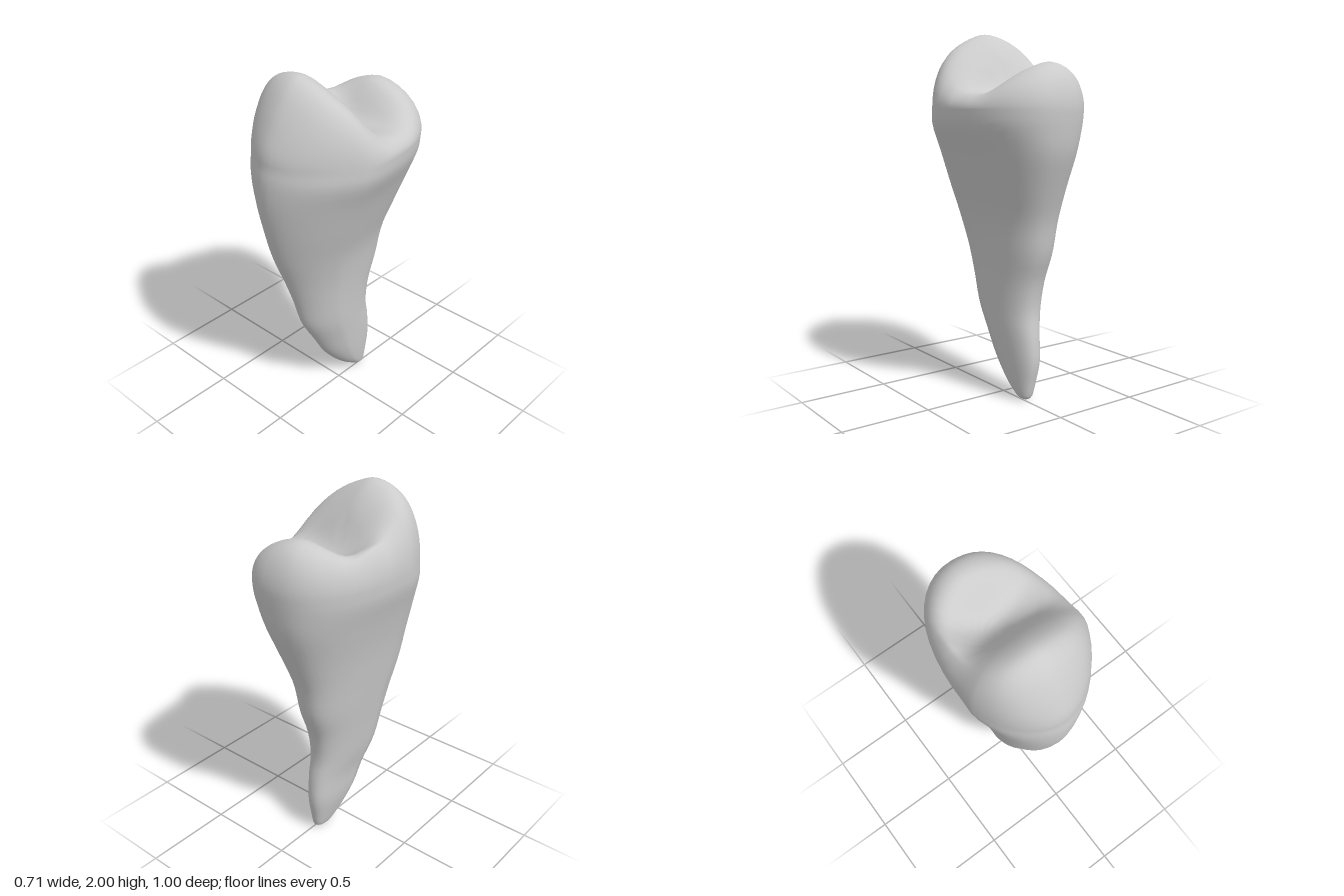
import * as THREE from 'three';

const SEG = 48;
const BODY_RINGS = 40;
const CROWN_RINGS = 24;

// Root and body sections: [y, xMin, xMax, zBack, zFront]
const SECTIONS = [
  [0.01, -0.03, 0.01, -0.21, -0.15],
  [0.03, -0.055, 0.025, -0.225, -0.11],
  [0.10, -0.08, 0.042, -0.24, -0.02],
  [0.22, -0.11, 0.06, -0.26, 0.085],
  [0.36, -0.127, 0.075, -0.25, 0.165],
  [0.50, -0.16, 0.09, -0.23, 0.24],
  [0.66, -0.185, 0.105, -0.25, 0.285],
  [0.82, -0.21, 0.125, -0.305, 0.34],
  [1.00, -0.24, 0.16, -0.338, 0.41],
  [1.18, -0.27, 0.22, -0.40, 0.46],
  [1.36, -0.31, 0.285, -0.465, 0.495],
  [1.50, -0.348, 0.345, -0.488, 0.50],
  [1.59, -0.355, 0.355, -0.495, 0.487],
];
const body = new THREE.CubicInterpolant(SECTIONS.map((s, i) => i), SECTIONS.flat(), 5);

// Height of the chewing surface along its midline, from back to front
const MID_Z = [-0.5, -0.45, -0.37, -0.29, -0.22, -0.16, -0.1, -0.02, 0.07, 0.165, 0.245, 0.32, 0.4, 0.46, 0.5];
const MID_Y = [1.87, 1.88, 1.87, 1.835, 1.755, 1.68, 1.655, 1.71, 1.86, 1.965, 2.0, 1.97, 1.89, 1.82, 1.8];
const midline = new THREE.CubicInterpolant(MID_Z, MID_Y, 1);

// Adds the ridges at both ends of the valley and slopes the cusps off sideways
function crownHeight(x, z) {
  const mid = midline.evaluate(THREE.MathUtils.clamp(z, -0.499, 0.499))[0];
  const valley = Math.exp(-(((z + 0.1) / 0.13) ** 2));
  const ridge = valley * (x > 0 ? 0.025 : 0.13) * Math.min(1.3, (x / 0.25) ** 2);
  const dx = x + 0.05;
  const slope = (dx > 0 ? 0.42 : 0.2) * (Math.hypot(dx, 0.05) - 0.05);
  return mid + ridge - (1 - valley) * slope;
}

// Egg-shaped ring, blunt at the back, narrower and off-centre at the front
function ringPoint([y, x0, x1, zb, zf], j, scale) {
  const a = (j / SEG) * Math.PI * 2;
  const s = Math.sin(a), c = Math.cos(a);
  const zc = zb + 0.6 * (zf - zb);
  const e = c < 0 ? 0.85 : 0.85 + 0.28 * Math.min(1, c * 3);
  const u = Math.sign(s) * Math.abs(s) ** e;
  const v = Math.sign(c) * Math.abs(c) ** e;
  const lean = 0.055 * Math.max(0, v);
  const x = (x0 + x1) / 2 + (u / 2 - lean) * scale * (x1 - x0);
  const z = zc + v * scale * (c < 0 ? zc - zb : zf - zc);
  return [x, y, z];
}

function toothGeometry() {
  const pos = [], index = [];
  pos.push(-0.01, 0, -0.18); // root tip

  // Root and body rings
  let rim;
  for (let i = 0; i <= BODY_RINGS; i++) {
    rim = Array.from(body.evaluate((i / BODY_RINGS) * (SECTIONS.length - 1)));
    for (let j = 0; j < SEG; j++) pos.push(...ringPoint(rim, j, 1));
  }

  // Crown rings close in from the widest ring over the chewing surface
  for (let i = 1; i < CROWN_RINGS; i++) {
    const s = Math.cos((i / CROWN_RINGS) * Math.PI / 2) ** 0.8;
    const rise = Math.sqrt(1 - s ** 5);
    for (let j = 0; j < SEG; j++) {
      const [x, y, z] = ringPoint(rim, j, s);
      pos.push(x, y + (crownHeight(x, z) - y) * rise, z);
    }
  }
  const zc = rim[3] + 0.6 * (rim[4] - rim[3]);
  pos.push(0, crownHeight(0, zc), zc);

  // Faces
  const rings = BODY_RINGS + CROWN_RINGS;
  const top = 1 + rings * SEG;
  const last = top - SEG;
  for (let j = 0; j < SEG; j++) {
    const k = (j + 1) % SEG;
    index.push(0, 1 + k, 1 + j);
    for (let i = 0; i < rings - 1; i++) {
      const a = 1 + i * SEG, b = a + SEG;
      index.push(a + j, a + k, b + k, a + j, b + k, b + j);
    }
    index.push(last + j, last + k, top);
  }

  const geo = new THREE.BufferGeometry();
  geo.setAttribute('position', new THREE.Float32BufferAttribute(pos, 3));
  geo.setIndex(index);
  geo.computeVertexNormals();
  return geo;
}

export function createModel() {
  const group = new THREE.Group();
  group.name = 'premolarTooth';
  const tooth = new THREE.Mesh(toothGeometry(), new THREE.MeshStandardMaterial({ color: 0xcccccc }));
  tooth.name = 'crownAndRoot';
  group.add(tooth);
  return group;
}
